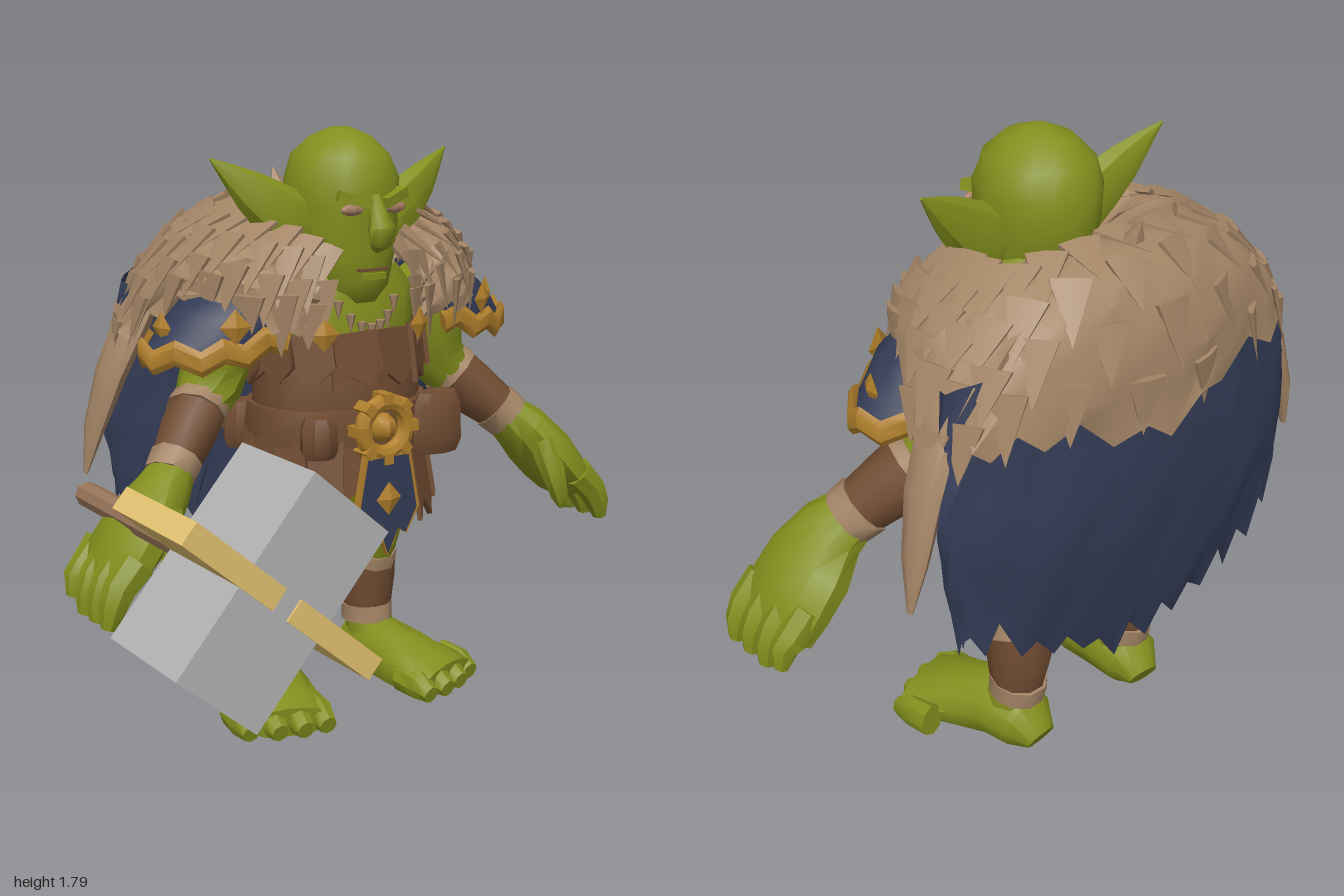
import * as THREE from 'three';
import { mergeGeometries, toCreasedNormals } from 'three/addons/utils/BufferGeometryUtils.js';

const V = (p) => new THREE.Vector3(p[0], p[1], p[2]);
const rnd = (n) => { const s = Math.sin(n * 127.1 + 11.7) * 43758.5453; return s - Math.floor(s); };
const mat = (name, color, side = THREE.FrontSide) => {
  const m = new THREE.MeshStandardMaterial({ color, side });
  m.name = name;
  return m;
};

function indexed(pos, idx) {
  const g = new THREE.BufferGeometry();
  g.setAttribute('position', new THREE.Float32BufferAttribute(pos, 3));
  g.setIndex(idx);
  return g;
}

// Closed skin over elliptical rings [x, y, z, ru, rv] set square to the path
function loft(rings, sides = 12, ref = [1, 0, 0], rough = 0.03) {
  const pos = [], idx = [], n = rings.length;
  rings.forEach((r, k) => {
    const t = V(rings[Math.min(k + 1, n - 1)]).sub(V(rings[Math.max(k - 1, 0)])).normalize();
    const u = V(ref).addScaledVector(t, -V(ref).dot(t)).normalize();
    const v = t.clone().cross(u);
    for (let i = 0; i < sides; i++) {
      const a = (i / sides) * Math.PI * 2, f = 1 + rough * (rnd(k * 31 + i) * 2 - 1);
      const p = V(r).addScaledVector(u, Math.cos(a) * r[3] * f).addScaledVector(v, Math.sin(a) * r[4] * f);
      pos.push(p.x, Math.max(p.y, 0), p.z);
    }
  });
  for (let k = 0; k < n - 1; k++) for (let i = 0; i < sides; i++) {
    const a = k * sides + i, b = k * sides + (i + 1) % sides;
    idx.push(a, b, b + sides, a, b + sides, a + sides);
  }
  const c = n * sides, e = (n - 1) * sides;
  pos.push(...rings[0].slice(0, 3), ...rings[n - 1].slice(0, 3));
  for (let i = 0; i < sides; i++) {
    const j = (i + 1) % sides;
    idx.push(c, j, i, c + 1, e + i, e + j);
  }
  return indexed(pos, idx);
}

// Smooth surface through columns of points
function surface(cols) {
  const rows = cols[0].map((_, r) => new THREE.CatmullRomCurve3(cols.map((c) => V(c[r]))));
  return (u, v) => new THREE.CatmullRomCurve3(rows.map((c) => c.getPoint(u))).getPoint(v);
}

// Cloth or pelt with rough folds and a torn hem
function sheet(at, nu, nv, rough, jag) {
  const pos = [], idx = [];
  for (let i = 0; i <= nu; i++) for (let j = 0; j <= nv; j++) {
    const p = at(i / nu, j / nv), k = i * 17 + j;
    if (j === nv) p.y += jag * (i % 2 ? rnd(k) : -rnd(k));
    p.z += rough * (rnd(k + 5) - 0.5);
    p.x += rough * (rnd(k + 9) - 0.5);
    pos.push(p.x, p.y, p.z);
    if (i < nu && j < nv) {
      const a = i * (nv + 1) + j, b = a + nv + 1;
      idx.push(a, b, b + 1, a, b + 1, a + 1);
    }
  }
  return indexed(pos, idx);
}

const mirrored = (cols) => [...cols.slice(1).reverse().map((c) => c.map(([x, y, z]) => [-x, y, z])), ...cols];
const plate = (pts, depth) => new THREE.ExtrudeGeometry(
  new THREE.Shape(pts.map((p) => new THREE.Vector2(p[0], p[1]))), { depth, bevelEnabled: false });

export function createModel() {
  const green = mat('green skin', 0x838f1d), fur = mat('tan fur', 0xa48566, THREE.DoubleSide);
  const blue = mat('navy cloth', 0x333b55, THREE.DoubleSide), brown = mat('brown leather', 0x714c32);
  const gold = mat('gold trim', 0xb07f2b), brass = mat('pale brass', 0xe4c272);
  const grey = mat('grey stone', 0xb3b3b3), wood = mat('wood', 0x977459), eye = mat('eye rim', 0xa47c62);

  const model = new THREE.Group(), body = new THREE.Group(), hammer = new THREE.Group();
  body.name = 'goblin'; hammer.name = 'hammer';
  body.position.x = 0.08;
  model.add(body, hammer);
  const add = (name, geo, m, parent = body, crease = 0.6) => {
    const mesh = new THREE.Mesh(toCreasedNormals(geo, crease), m);
    mesh.name = name;
    parent.add(mesh);
    return mesh;
  };

  // Torso
  add('jerkin', loft([[0, .74, -.23, .2, .17], [0, .84, -.22, .26, .21], [0, .97, -.22, .27, .22],
    [0, 1.1, -.22, .27, .21], [0, 1.2, -.23, .26, .18]], 16), brown);
  add('chest', loft([[0, 1.14, -.23, .25, .185], [0, 1.22, -.23, .265, .185], [0, 1.32, -.24, .27, .18],
    [0, 1.42, -.22, .18, .14], [0, 1.52, -.2, .1, .1]], 14), green);
  add('belt', loft([[0, .875, -.22, .285, .235], [0, .93, -.22, .295, .245], [0, .985, -.22, .285, .235]], 18), brown);

  // Ragged leather flaps of skirt and collar
  const flap = plate([[-.07, 0], [-.08, -.3], [-.03, -.24], [.03, -.31], [.08, -.22], [.07, 0]], 0.015);
  const ringOfFlaps = (name, count, y, rx, rz, len, tilt) => {
    for (let i = 0; i < count; i++) {
      const a = ((i + 0.5) / count) * Math.PI * 2;
      const f = add(name, flap, brown);
      f.position.set(Math.sin(a) * rx, y, -.22 + Math.cos(a) * rz);
      f.rotation.set(tilt - .1 * rnd(i), a, .25 * (rnd(i + 40) - .5), 'YXZ');
      f.scale.set(1, len * (.85 + .3 * rnd(i + 7)), 1);
    }
  };
  ringOfFlaps('skirtFlap', 14, .93, .26, .2, .92, -.1);
  ringOfFlaps('collarFlap', 12, 1.21, .26, .19, .5, -.05);

  // Buckle, loincloth and chest ornaments
  const ring = add('buckleRing', new THREE.TorusGeometry(.078, .026, 8, 14), gold);
  ring.position.set(0, .93, .035);
  const hub = add('buckleHub', new THREE.SphereGeometry(.045, 8, 6), gold);
  hub.position.set(0, .93, .022);
  for (let i = 0; i < 8; i++) {
    const a = i * Math.PI / 4;
    const stud = add('buckleStud', new THREE.BoxGeometry(.032, .032, .065), gold);
    stud.position.set(Math.cos(a) * .09, .93 + Math.sin(a) * .09, .03);
    stud.rotation.z = a;
  }
  const cloth = [[-.08, .86], [-.115, .68], [-.06, .6], [-.03, .62], [0, .54], [.04, .62], [.07, .6], [.115, .68], [.08, .86]];
  const clothTrim = add('loinclothTrim', plate(cloth, .02), gold);
  clothTrim.position.z = .036;
  const loin = add('loincloth', plate(cloth, .009), blue);
  loin.position.set(0, .05, .05);
  loin.scale.set(.9, .925, 1);
  const diamond = (x, y, z, ry, size) => {
    const d = add('diamond', new THREE.OctahedronGeometry(1), gold, body, .1);
    d.position.set(x, y, z);
    d.rotation.y = ry;
    d.scale.set(size, size * 1.15, .014);
  };
  diamond(0, .72, .06, 0, .045);
  for (let i = -3; i <= 3; i++) {
    const tooth = add('collarTooth', new THREE.ConeGeometry(.016, .06, 5), fur);
    tooth.position.set(i * .033, 1.2 + i * i * .008, -.03 - i * i * .003);
    tooth.rotation.z = Math.PI;
  }
  for (const [x, y, z, w] of [[.23, .91, -.01, .17], [-.2, .92, -.01, .11], [.24, .9, -.37, .15], [-.24, .9, -.37, .13]]) {
    const h = w * 1.1, pouch = [[x, y - h / 2, z, w * .42, .04], [x, y - h * .3, z, w * .52, .055],
      [x, y + h * .3, z, w * .5, .055], [x, y + h / 2, z, w * .4, .04]];
    add('pouch', loft(pouch, 8), brown);
  }

  // Head and face
  add('head', loft([[0, 1.275, -.085, .045, .04], [0, 1.32, -.11, .1, .09], [0, 1.4, -.14, .135, .13],
    [0, 1.48, -.17, .15, .165], [0, 1.56, -.185, .16, .185], [0, 1.64, -.19, .165, .18], [0, 1.71, -.19, .14, .155],
    [0, 1.76, -.19, .09, .1], [0, 1.787, -.19, .03, .03]], 18, [1, 0, 0], .02), green, body, .9);
  add('nose', loft([[0, 1.6, -.02, .02, .02], [0, 1.55, .0, .026, .03], [0, 1.51, .02, .042, .038],
    [0, 1.47, .012, .036, .028], [0, 1.45, -.01, .015, .015]], 8), green, body, .9);
  add('mouth', new THREE.BoxGeometry(.1, .007, .03), brown).position.set(0, 1.39, -.027);
  add('lowerLip', new THREE.BoxGeometry(.08, .018, .03), green).position.set(0, 1.37, -.03);

  for (const s of [1, -1]) {
    const side = (rings) => rings.map(([x, ...r]) => [x * s, ...r]);
    const limb = (name, m, rings, sides = 10) => add(name, loft(side(rings), sides), m, body, .75);

    const eyeball = add('eye', new THREE.SphereGeometry(1, 8, 6), eye);
    eyeball.scale.set(.042, .017, .016);
    eyeball.position.set(s * .072, 1.565, -.023);
    const brow = add('brow', new THREE.BoxGeometry(.1, .03, .05), green);
    brow.position.set(s * .066, 1.594, -.025);
    brow.rotation.set(0, s * .35, s * .25);

    // Long pointed ear
    add('ear', loft(side([[.11, 1.515, -.18, .08, .05], [.17, 1.52, -.18, .09, .058], [.23, 1.56, -.185, .082, .052],
      [.3, 1.615, -.2, .06, .04], [.36, 1.665, -.215, .032, .022], [.415, 1.71, -.23, .003, .003]]), 8, [0, 1, 0]), green);

    // Arm, bracer and hand
    limb('upperArm', green, [[.33, 1.33, -.25, .09, .1], [.38, 1.24, -.25, .1, .12], [.39, 1.13, -.26, .09, .12],
      [.415, 1.05, -.27, .09, .11], [.47, .98, -.24, .078, .09], [.53, .93, -.2, .07, .08]]);
    limb('bracer', brown, [[.465, .995, -.245, .085, .097], [.52, .94, -.21, .085, .092], [.6, .865, -.155, .07, .08]]);
    limb('elbowWrap', fur, [[.45, 1.01, -.256, .086, .1], [.475, .985, -.24, .092, .104]]);
    limb('wristWrap', fur, [[.585, .88, -.165, .078, .088], [.625, .84, -.14, .074, .084]]);
    limb('palm', green, [[.59, .87, -.155, .06, .07], [.655, .81, -.12, .08, .1], [.73, .73, -.11, .085, .15],
      [.8, .65, -.11, .075, .155], [.84, .59, -.105, .05, .14]]);
    for (let i = 0; i < 4; i++) {
      const z = -.21 + i * .072, d = i === 0 ? .03 : 0;
      limb('finger', green, [[.8, .66, z, .055, .046], [.86, .6, z + .005, .048, .045],
        [.885, .55 + d, z + .008, .04, .04], [.9, .495 + d, z + .008, .02, .024]], 7);
    }
    limb('thumb', green, [[.68, .77, -.04, .04, .05], [.69, .68, .01, .038, .042], [.71, .6, .025, .028, .03],
      [.72, .56, .025, .01, .012]], 7);

    // Leg, shin guard and foot
    limb('thigh', green, [[.15, .82, -.24, .11, .12], [.18, .7, -.28, .12, .125], [.2, .57, -.31, .1, .12],
      [.21, .48, -.33, .085, .105], [.21, .38, -.355, .08, .09]]);
    limb('shinGuard', brown, [[.21, .43, -.35, .09, .1], [.215, .32, -.365, .092, .102], [.215, .2, -.355, .075, .08]]);
    limb('kneeWrap', fur, [[.21, .395, -.355, .096, .106], [.21, .435, -.342, .092, .102]]);
    limb('ankleWrap', fur, [[.215, .17, -.355, .08, .088], [.215, .225, -.36, .083, .09]]);
    limb('ankle', green, [[.215, .2, -.355, .07, .075], [.22, .08, -.33, .085, .1]]);
    limb('foot', green, [[.21, .05, -.455, .05, .04], [.215, .08, -.4, .09, .09], [.225, .085, -.29, .1, .105],
      [.25, .065, -.18, .115, .095], [.285, .05, -.08, .14, .07], [.3, .045, -.03, .135, .05]], 12);
    for (let i = 0; i < 4; i++) {
      const x = .19 + i * .074, z = -.01 - i * i * .009;
      limb('toe', green, [[x - .01, .05, z - .1, .042, .05], [x, .045, z - .02, .044, .048], [x + .005, .03, z + .035, .028, .03]], 8);
    }

    // Shoulder pad with gold hem
    const pad = [[[.24, 1.37, -.1], [.27, 1.29, -.06], [.28, 1.21, -.05]], [[.32, 1.39, -.12], [.44, 1.28, -.08], [.49, 1.17, -.08]],
      [[.38, 1.4, -.22], [.54, 1.29, -.22], [.64, 1.17, -.23]], [[.36, 1.39, -.34], [.47, 1.28, -.37], [.52, 1.17, -.39]]]
      .map(side);
    const padAt = surface(pad);
    add('shoulderPad', sheet(padAt, 10, 4, .01, .02), blue);
    const hem = Array.from({ length: 11 }, (_, i) => {
      const p = padAt(i / 10, 1);
      return [p.x, p.y + (i % 2 ? .022 : -.01), p.z, .037, .014];
    });
    add('padTrim', loft(hem, 6, [0, 1, 0]), gold);
    diamond(s * .44, 1.26, -.062, s * .35, .045);
    diamond(s * .585, 1.25, -.225, s * 1.35, .04);
    diamond(s * .17, 1.215, -.025, s * .3, .045);

    // Pelt strip hanging and flaring beside the cape
    limb('peltStrip', fur, [[.48, 1.37, -.43, .02, .04], [.55, 1.25, -.46, .045, .075], [.625, 1.08, -.48, .04, .065],
      [.675, .92, -.5, .027, .045], [.705, .78, -.51, .006, .01]], 8);
  }

  // Cape
  add('cape', sheet(surface(mirrored([
    [[0, 1.36, -.67], [0, .9, -.7], [0, .45, -.64]],
    [[.34, 1.4, -.61], [.4, .9, -.655], [.33, .55, -.63]],
    [[.57, 1.35, -.5], [.63, .98, -.54], [.58, .67, -.56]],
    [[.47, 1.3, -.4], [.5, .95, -.44], [.47, .57, -.46]],
    [[.32, 1.25, -.38], [.33, .95, -.4], [.35, .68, -.42]]])), 48, 8, .018, .07), blue);

  // Fur mantle with overlapping flat tufts
  const mantleAt = surface(mirrored([
    [[0, 1.5, -.35], [0, 1.58, -.47], [0, 1.56, -.61], [0, 1.38, -.705], [0, 1.15, -.71]],
    [[.13, 1.5, -.33], [.24, 1.57, -.46], [.35, 1.5, -.56], [.43, 1.38, -.61], [.46, 1.24, -.64]],
    [[.17, 1.48, -.29], [.32, 1.55, -.38], [.47, 1.45, -.45], [.58, 1.28, -.48], [.62, 1.14, -.49]],
    [[.18, 1.46, -.24], [.32, 1.54, -.27], [.44, 1.47, -.28], [.5, 1.39, -.28], [.52, 1.31, -.29]],
    [[.15, 1.43, -.13], [.25, 1.49, -.13], [.33, 1.43, -.08], [.37, 1.34, -.05], [.37, 1.25, -.05]],
    [[.11, 1.39, -.08], [.14, 1.42, -.07], [.17, 1.37, -.05], [.17, 1.3, -.035], [.17, 1.23, -.035]]]));
  add('furMantle', sheet(mantleAt, 48, 10, .025, .05), fur);
  const tufts = [], core = new THREE.Vector3(0, 1.3, -.3);
  for (let i = 0; i <= 22; i++) for (let j = 0; j < 4; j++) {
    const u = Math.min((i + (j % 2) * .5) / 22, 1), v = .34 + j * .19;
    const p = mantleAt(u, v), down = mantleAt(u, v + .06).sub(p).normalize();
    const out = p.clone().sub(core).normalize();
    down.addScaledVector(out, .03).normalize();
    const across = down.clone().cross(out).normalize();
    const g = new THREE.ConeGeometry(.062, .13 + .06 * rnd(i * 7 + j), 6).scale(1, 1, .2);
    g.applyMatrix4(new THREE.Matrix4().makeBasis(across, down, across.clone().cross(down)));
    p.addScaledVector(down, .02);
    tufts.push(g.translate(p.x, p.y, p.z));
  }
  add('furTufts', mergeGeometries(tufts), fur);
  const peak = add('furPeak', new THREE.ConeGeometry(.06, .14, 5), fur);
  peak.position.set(0, 1.585, -.54);
  peak.rotation.x = -.4;

  // Hammer: handle, block and two brass plates
  hammer.position.set(-.695, .765, 0);
  const handle = add('handle', new THREE.CylinderGeometry(.037, .037, .76, 8), wood, hammer);
  handle.rotation.x = Math.PI / 2;
  handle.position.z = .025;
  const head = new THREE.Group();
  head.name = 'hammerHead';
  head.position.set(-.005, -.005, .56);
  head.rotation.z = .85;
  hammer.add(head);
  add('block', new THREE.BoxGeometry(.575, .28, .33), grey, head);
  for (const s of [1, -1]) {
    add('brassPlate', new THREE.BoxGeometry(.062, .31, .342), brass, head).position.y = s * .182;
  }
  add('brassBack', new THREE.BoxGeometry(.062, .2, .02), brass, head).position.z = -.161;
  return model;
}
